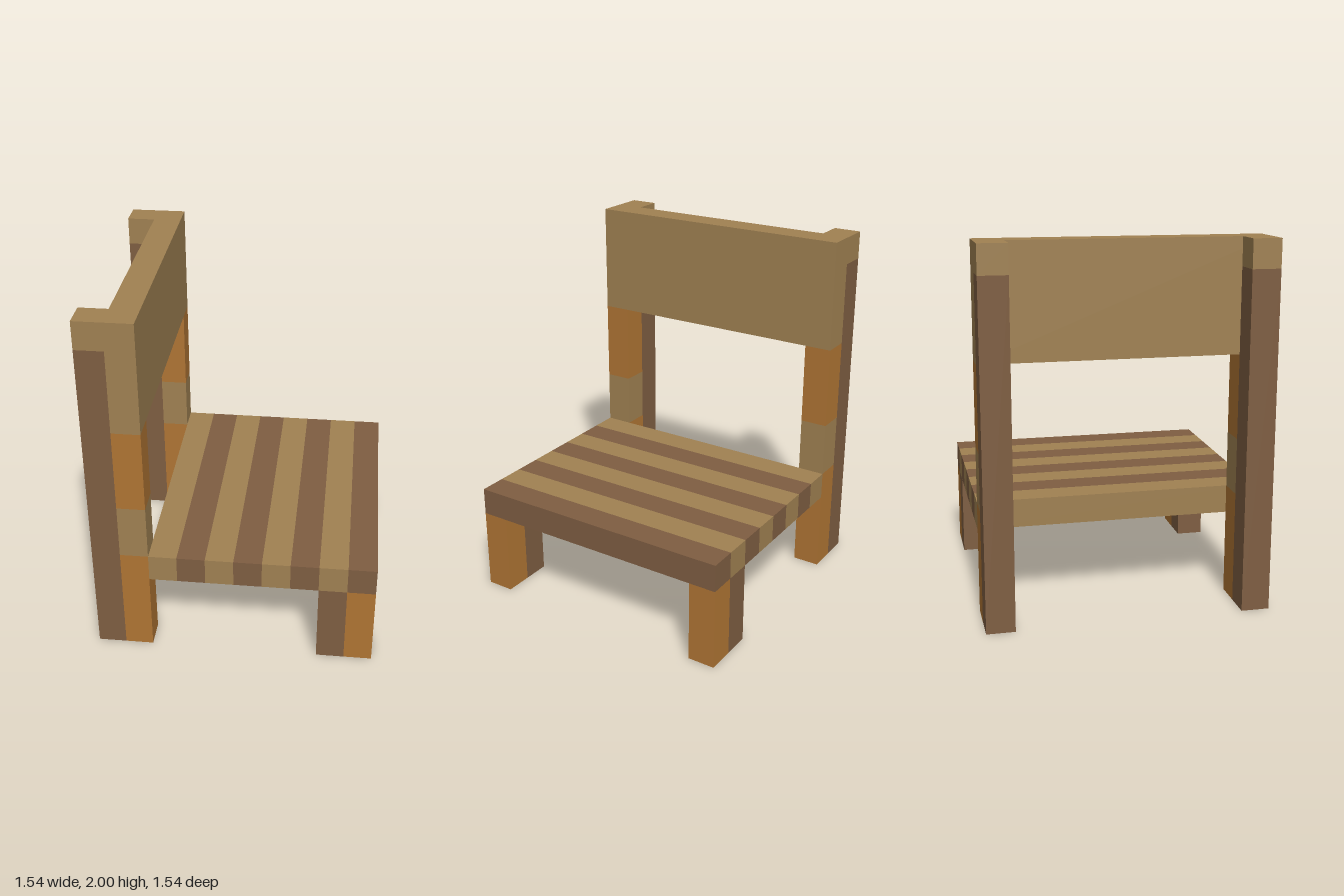
import * as THREE from 'three';

const U = 2 / 13; // one plank thickness; the chair is 10 x 13 x 10 planks

function material(name, color) {
  const m = new THREE.MeshStandardMaterial({ color });
  m.name = name;
  return m;
}

export function createModel() {
  const tan = material('tanWood', 0xa08152);
  const brown = material('brownWood', 0x7f5e42);
  const orange = material('orangeWood', 0xb07534);
  const chair = new THREE.Group();
  chair.name = 'chair';

  // Box given by its min and max corners in plank units
  const block = (parent, name, mat, [x0, x1], [y0, y1], [z0, z1]) => {
    const geo = new THREE.BoxGeometry((x1 - x0) * U, (y1 - y0) * U, (z1 - z0) * U);
    const mesh = new THREE.Mesh(geo, mat);
    mesh.position.set((x0 + x1) / 2 * U, (y0 + y1) / 2 * U, (z0 + z1) / 2 * U);
    mesh.name = name;
    parent.add(mesh);
  };
  const group = (name) => {
    const g = new THREE.Group();
    g.name = name;
    chair.add(g);
    return g;
  };

  // Seat of eight alternating planks
  const seat = group('seat');
  for (let i = 0; i < 8; i++) {
    block(seat, 'seatPlank', i % 2 ? brown : tan, [i - 3, i - 2], [3, 4], [-5, 5]);
  }

  // Backrest panel spanning both posts
  block(chair, 'backrest', tan, [-4, -3], [9, 13], [-5, 5]);

  for (const [side, z] of [['Near', [4, 5]], ['Far', [-5, -4]]]) {
    // Rear post: brown back half with a tan cap, banded front half
    const post = group('rearPost' + side);
    block(post, 'postBack', brown, [-5, -4], [0, 12], z);
    block(post, 'postCap', tan, [-5, -4], [12, 13], z);
    block(post, 'postLowerBand', orange, [-4, -3], [0, 4], z);
    block(post, 'postMiddleBand', tan, [-4, -3], [4, 6], z);
    block(post, 'postUpperBand', orange, [-4, -3], [6, 9], z);

    // Front leg in two tones
    const leg = group('frontLeg' + side);
    block(leg, 'legInner', brown, [3, 4], [0, 3], z);
    block(leg, 'legOuter', orange, [4, 5], [0, 3], z);
  }
  return chair;
}
